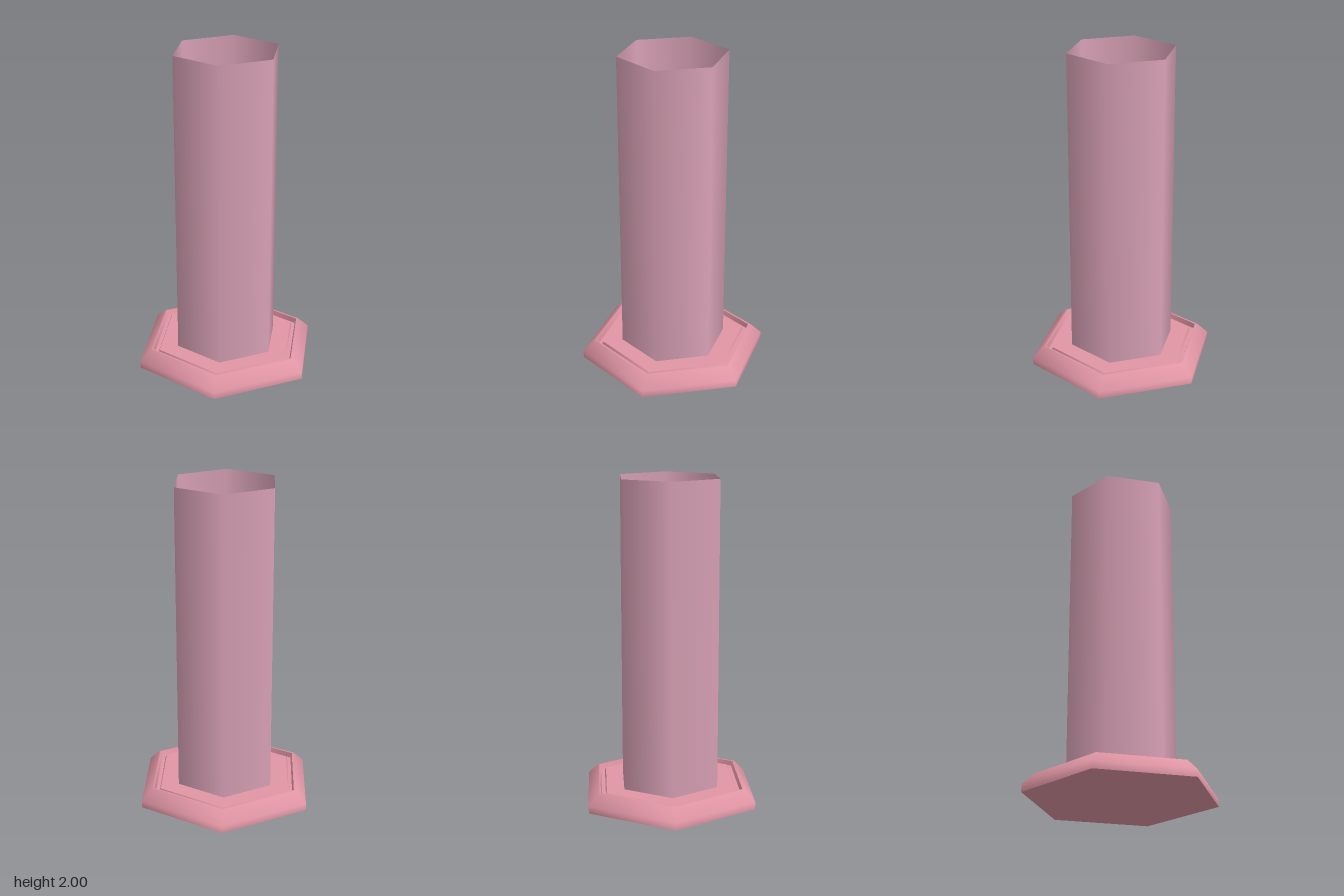
import * as THREE from 'three';

export function createModel() {
  const model = new THREE.Group();
  const rose = new THREE.MeshStandardMaterial({ color: 0xe095a4 });
  rose.name = 'rose base';
  const mauve = new THREE.MeshStandardMaterial({ color: 0xd8a1b5, side: THREE.DoubleSide });
  mauve.name = 'mauve tube';
  const white = new THREE.MeshStandardMaterial({ color: 0xe8e8e8 });
  white.name = 'white lamp';

  // Six-sided turned band, corners on the z axis, smooth within the band
  function band(name, points, material, parent) {
    const profile = points.map(([r, y]) => new THREE.Vector2(r, y));
    const mesh = new THREE.Mesh(new THREE.LatheGeometry(profile, 6), material);
    mesh.name = name;
    parent.add(mesh);
    return mesh;
  }

  // Hexagonal base; separate bands keep the creases between them sharp
  const base = new THREE.Group();
  base.name = 'base';
  model.add(base);
  band('baseUnderside', [[0, 0], [0.587, 0]], rose, base);
  band('baseBevel', [[0.587, 0], [0.587, 0.045], [0.515, 0.115], [0.5, 0.115]], rose, base);
  band('grooveOuterWall', [[0.5, 0.115], [0.49, 0.085]], rose, base);
  band('grooveFloor', [[0.49, 0.085], [0.465, 0.085]], rose, base);
  band('grooveInnerWall', [[0.465, 0.085], [0.457, 0.1]], rose, base);
  band('basePlate', [[0.457, 0.1], [0.295, 0.1]], rose, base);
  band('lampSocket', [[0.295, 0.1], [0.18, 0.055]], rose, base);

  // Shallow six-sided lamp dome in the socket
  const dome = [[0.192, 0.055], [0.192, 0.065], [0.175, 0.075]];
  for (let i = 1; i <= 5; i++) {
    const a = (i / 5) * Math.PI / 2;
    dome.push([i === 5 ? 0 : 0.175 * Math.cos(a), 0.075 + 0.06 * Math.sin(a)]);
  }
  band('lamp', dome, white, model);

  // Thin open hexagonal tube
  band('tube', [[0.332, 0.1], [0.332, 2]], mauve, model);

  return model;
}
